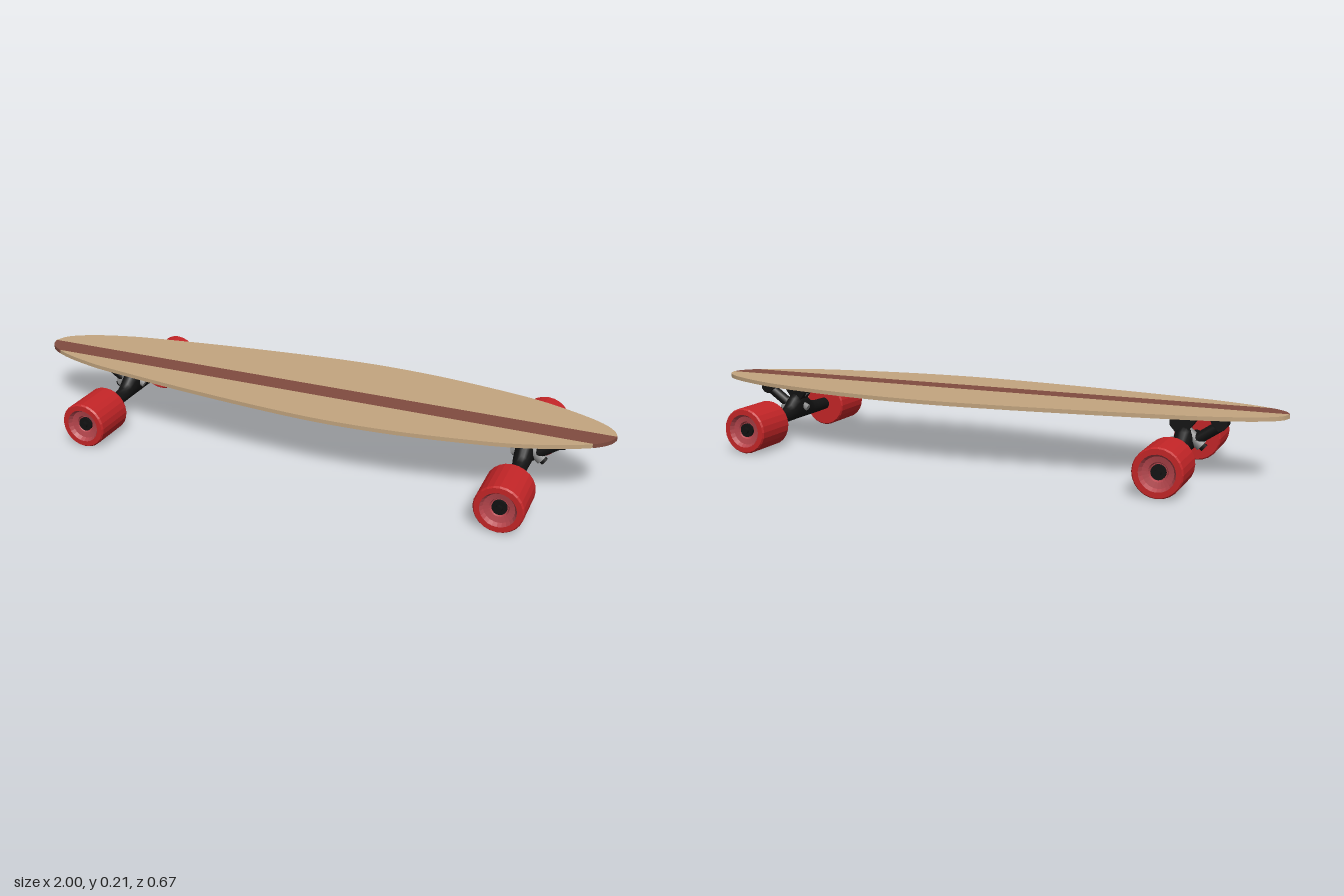
import * as THREE from 'three';
import { toCreasedNormals } from 'three/addons/utils/BufferGeometryUtils.js';

const mat = (name, color) => {
  const m = new THREE.MeshStandardMaterial({ color });
  m.name = name;
  return m;
};

export function createModel() {
  const wood = mat('light wood', 0xc3a57f);
  const stripeWood = mat('dark wood', 0x804c40);
  const red = mat('red urethane', 0xc42527);
  const pink = mat('wheel core', 0xb5454c);
  const black = mat('black metal', 0x121212);
  const grey = mat('grey steel', 0x8a8a8a);

  const model = new THREE.Group();
  model.name = 'longboard';
  const add = (parent, name, geo, material, x = 0, y = 0, z = 0) => {
    const m = new THREE.Mesh(geo, material);
    m.name = name;
    m.position.set(x, y, z);
    parent.add(m);
    return m;
  };

  // Deck: half-width outline, sliced lengthwise into boards
  const outline = new THREE.SplineCurve([
    [-1, 0], [-0.985, 0.037], [-0.95, 0.067], [-0.88, 0.1], [-0.78, 0.13], [-0.68, 0.15],
    [-0.4, 0.19], [-0.1, 0.222], [0.13, 0.235], [0.35, 0.226], [0.55, 0.2], [0.72, 0.167],
    [0.85, 0.122], [0.94, 0.078], [0.985, 0.037], [1, 0],
  ].map(p => new THREE.Vector2(...p))).getPoints(150);
  const board = (name, from, to, side, material) => {
    const edge = outline.filter(p => p.x >= -1 && p.x <= 1 && p.y >= from);
    const pts = edge.map(p => new THREE.Vector2(p.x, side * Math.min(p.y, to)));
    pts.push(new THREE.Vector2(edge[edge.length - 1].x, side * from));
    pts.push(new THREE.Vector2(edge[0].x, side * from));
    const unique = pts.filter((p, i) => p.distanceTo(pts[(i + 1) % pts.length]) > 1e-5);
    const geo = new THREE.ExtrudeGeometry(new THREE.Shape(unique), { depth: 0.013, bevelEnabled: false });
    add(model, name, toCreasedNormals(geo.rotateX(Math.PI / 2), 0.6), material, 0, 0.213, 0);
  };
  board('deckBack', 0, 1, -1, wood);
  board('deckStripe', 0, 0.075, 1, stripeWood);
  board('deckFront', 0.075, 1, 1, wood);

  // Side profile extruded across the board
  const slab = (pts, width) => {
    const shape = new THREE.Shape(pts.map(p => new THREE.Vector2(...p)));
    return new THREE.ExtrudeGeometry(shape, { depth: width, bevelEnabled: false }).translate(0, 0, -width / 2);
  };
  // Cylinder between two points in the x-y plane
  const rod = (a, b, r, sides = 16) => {
    const dx = b[0] - a[0], dy = b[1] - a[1];
    return new THREE.CylinderGeometry(r, r, Math.hypot(dx, dy), sides)
      .rotateZ(Math.atan2(-dx, dy))
      .translate((a[0] + b[0]) / 2, (a[1] + b[1]) / 2, 0);
  };

  // Hanger: rounded sections along z, swelling upward in the middle
  const hangerGeo = () => {
    const half = [[0, 0.156, 0.03], [0.02, 0.154, 0.03], [0.04, 0.14, 0.028], [0.06, 0.122, 0.025],
      [0.08, 0.11, 0.023], [0.11, 0.105, 0.022], [0.185, 0.103, 0.021]];
    const rows = [...half.slice(1).reverse().map(([z, t, w]) => [-z, t, w]), ...half];
    const n = 16, pos = [], idx = [];
    rows.forEach(([z, top, w]) => {
      for (let i = 0; i < n; i++) {
        const a = (i / n) * Math.PI * 2;
        pos.push(w * Math.cos(a), (top + 0.06) / 2 + ((top - 0.06) / 2) * Math.sin(a), z);
      }
    });
    for (let r = 0; r < rows.length - 1; r++) {
      for (let i = 0; i < n; i++) {
        const a = r * n + i, b = r * n + (i + 1) % n;
        idx.push(a, b, b + n, a, b + n, a + n);
      }
    }
    const g = new THREE.BufferGeometry();
    g.setAttribute('position', new THREE.Float32BufferAttribute(pos, 3));
    g.setIndex(idx);
    g.computeVertexNormals();
    return g;
  };

  // Turned part with its axis along z
  const turned = (pts, sides) => {
    const g = new THREE.LatheGeometry(pts.map(p => new THREE.Vector2(...p)), sides)
      .rotateX(Math.PI / 2).toNonIndexed();
    g.computeVertexNormals();
    return g;
  };

  const wheel = () => {
    const g = new THREE.Group();
    g.name = 'wheel';
    add(g, 'tire', turned([[0.012, 0.178], [0.073, 0.178], [0.077, 0.184], [0.077, 0.329],
      [0.073, 0.335], [0.056, 0.335]], 24), red);
    add(g, 'core', turned([[0.056, 0.335], [0.048, 0.322], [0.03, 0.318], [0.026, 0.31], [0.001, 0.31]], 24), pink);
    add(g, 'bearing', new THREE.CylinderGeometry(0.023, 0.023, 0.012, 20).rotateX(Math.PI / 2), black, 0, 0, 0.314);
    add(g, 'axleNut', new THREE.CylinderGeometry(0.011, 0.011, 0.012, 6).rotateX(Math.PI / 2), black, 0, 0, 0.324);
    g.position.y = 0.0775;
    return g;
  };

  // Truck: local +x points to the end of the board
  const truck = (name) => {
    const t = new THREE.Group();
    t.name = name;
    add(t, 'basePlate', new THREE.BoxGeometry(0.178, 0.006, 0.104), black, 0.046, 0.197, 0);
    add(t, 'kingpinBlock', slab([[-0.043, 0.196], [-0.043, 0.155], [-0.02, 0.128], [0.005, 0.128],
      [0.033, 0.165], [0.045, 0.196]], 0.048), black);
    add(t, 'pivotBlock', slab([[0.135, 0.196], [0.135, 0.162], [0.125, 0.15], [0.108, 0.146],
      [0.088, 0.164], [0.078, 0.196]], 0.048), black);
    add(t, 'pivotArm', rod([0.112, 0.162], [0, 0.085], 0.018), black);
    add(t, 'hanger', hangerGeo(), black);
    add(t, 'kingpin', rod([-0.03, 0.165], [0.055, 0.092], 0.019), grey);
    add(t, 'kingpinNut', rod([0.052, 0.095], [0.064, 0.085], 0.013, 6), black);
    add(t, 'kingpinHead', rod([-0.018, 0.112], [-0.042, 0.1], 0.012, 6), grey);
    for (const x of [-0.025, 0.117]) {
      for (const z of [-0.043, 0.043]) {
        add(t, 'mountingNut', new THREE.CylinderGeometry(0.007, 0.007, 0.007, 6), black, x, 0.192, z);
      }
    }
    const front = wheel(), back = wheel();
    back.rotation.y = Math.PI;
    t.add(front, back);
    return t;
  };

  const leftTruck = truck('leftTruck');
  leftTruck.position.x = 0.728;
  const rightTruck = truck('rightTruck');
  rightTruck.position.x = -0.684;
  rightTruck.rotation.y = Math.PI;
  model.add(leftTruck, rightTruck);
  return model;
}
